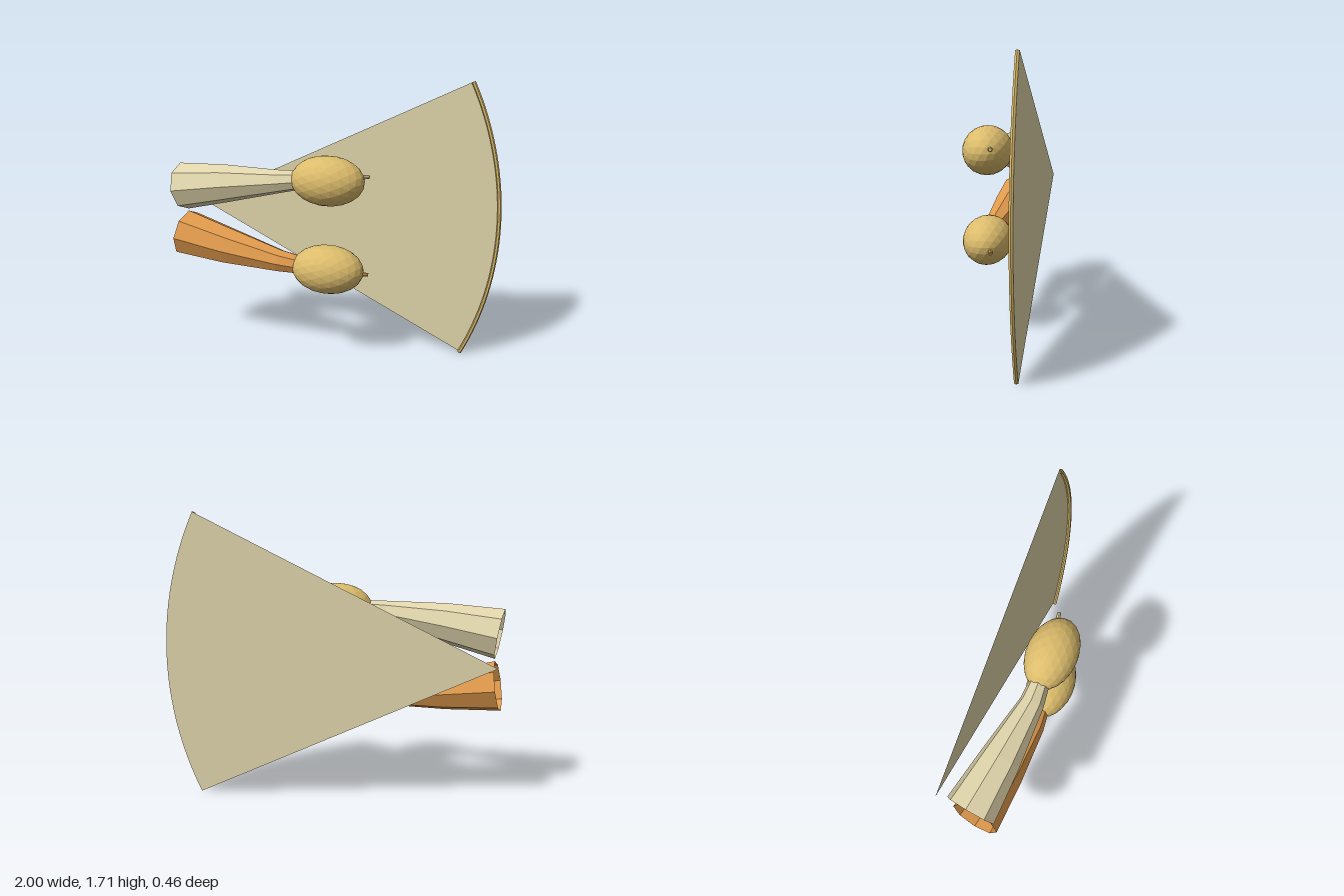
import * as THREE from 'three';

const MID_Y = 0.863; // mirror height between the upper and lower horn

function material(name, color) {
  return new THREE.MeshStandardMaterial({ name, color, flatShading: true, side: THREE.DoubleSide });
}

// Open, tapered eight-sided tube along a list of [point, radius] sections
function hornGeometry(sections, sides = 8) {
  const points = sections.map(([p]) => p);
  const up = new THREE.Vector3(0, 1, 0);
  const positions = [];
  const indices = [];
  sections.forEach(([p, radius], i) => {
    const t = points[Math.min(i + 1, points.length - 1)].clone()
      .sub(points[Math.max(i - 1, 0)]).normalize();
    const w = t.clone().cross(up).normalize();
    const u = w.clone().cross(t);
    for (let j = 0; j < sides; j++) {
      const a = (j / sides) * Math.PI * 2;
      const v = p.clone().addScaledVector(u, radius * Math.cos(a)).addScaledVector(w, radius * Math.sin(a));
      positions.push(v.x, v.y, v.z);
      if (i === 0) continue;
      const k = (j + 1) % sides;
      const b = i * sides, c = b - sides;
      indices.push(c + j, c + k, b + j, c + k, b + k, b + j);
    }
  });
  const geometry = new THREE.BufferGeometry();
  geometry.setAttribute('position', new THREE.Float32BufferAttribute(positions, 3));
  geometry.setIndex(indices);
  geometry.computeVertexNormals();
  return geometry;
}

export function createModel() {
  const model = new THREE.Group();
  const cream = material('cream', 0xe0d5ab);
  const orange = material('orange', 0xe09a4c);
  const gold = material('gold', 0xdcbc6c);

  const add = (name, geometry, mat, x, y, z) => {
    const mesh = new THREE.Mesh(geometry, mat);
    mesh.name = name;
    mesh.position.set(x, y, z);
    model.add(mesh);
    return mesh;
  };

  // Fan sheet and its rim
  const half = 0.45;
  add('fanSheet', new THREE.CircleGeometry(1.96, 32, -half, half * 2), cream, -0.965, MID_Y, -0.224);
  const rim = add('fanRim', new THREE.TorusGeometry(1.951, 0.0125, 6, 32, half * 2), gold, -0.965, MID_Y, -0.2125);
  rim.rotation.z = -half;

  // Curved horns, each passing through an egg-shaped body: x, height from mirror, z, radius
  const path = [
    [-0.973, 0.155, 0.016, 0.15],
    [-0.65, 0.206, 0.055, 0.118],
    [-0.3, 0.252, 0.09, 0.072],
    [0.0, 0.288, 0.075, 0.04],
    [0.25, 0.305, 0.022, 0.01],
  ];
  for (const [label, side, mat] of [['upper', 1, cream], ['lower', -1, orange]]) {
    const sections = path.map(([x, y, z, r]) => [new THREE.Vector3(x, y * side, z), r]);
    add(label + 'Horn', hornGeometry(sections), mat, 0, MID_Y, 0);
    const body = add(label + 'Body', new THREE.IcosahedronGeometry(0.15, 3), gold, 0.01, MID_Y + side * 0.276, 0.081);
    body.scale.x = 1.5;
  }
  return model;
}
